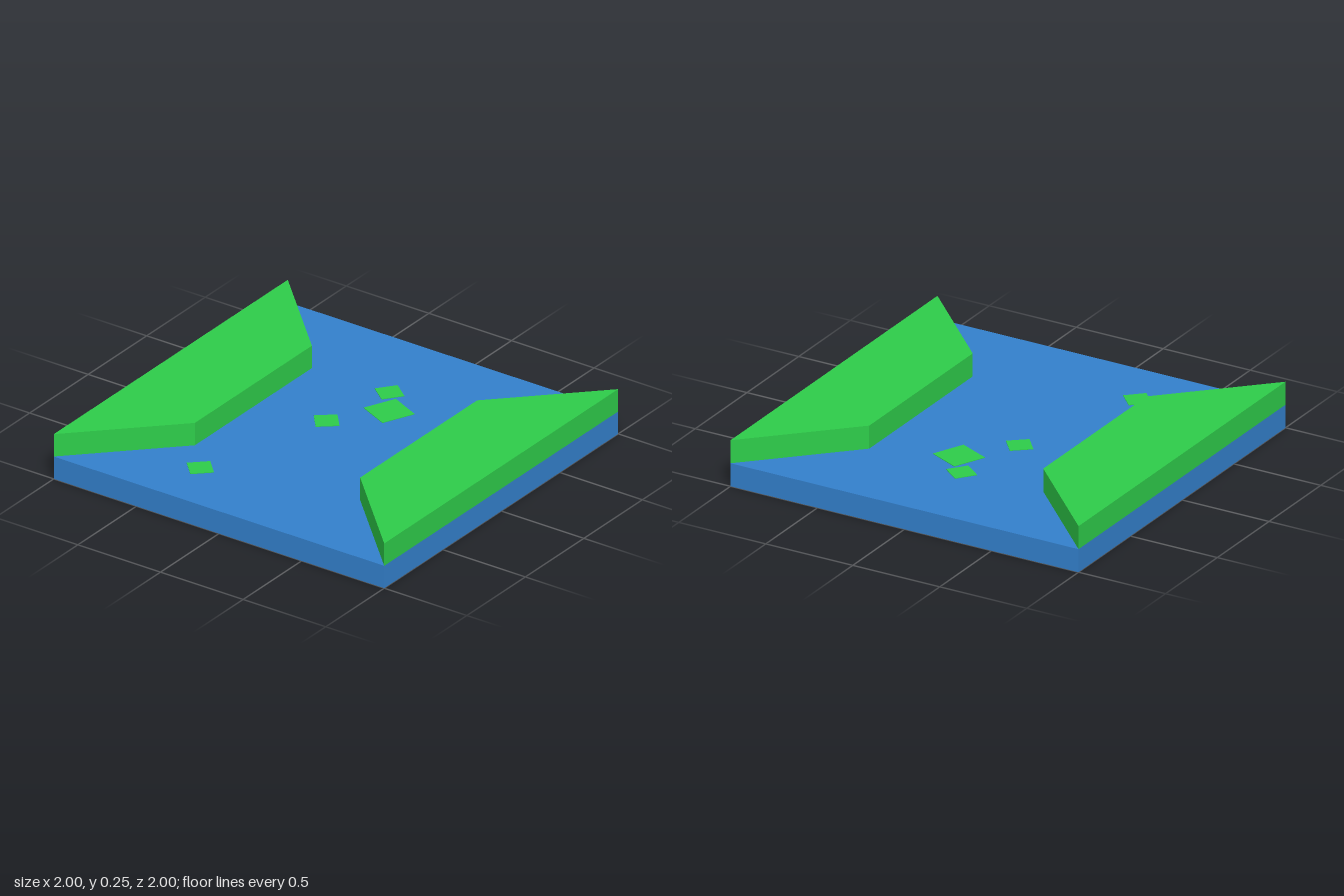
import * as THREE from 'three';

export function createModel() {
  const model = new THREE.Group();
  const water = new THREE.MeshStandardMaterial({ color: 0x3380cc });
  water.name = 'water blue';
  const grass = new THREE.MeshStandardMaterial({ color: 0x2ecc4a });
  grass.name = 'grass green';

  const waterTop = 0.125;
  const bankHeight = 0.125;

  const add = (name, geometry, material) => {
    const mesh = new THREE.Mesh(geometry, material);
    mesh.name = name;
    model.add(mesh);
    return mesh;
  };

  // Square slab of water
  add('water', new THREE.BoxGeometry(2, waterTop, 2), water).position.y = waterTop / 2;

  // Trapezoid banks along the front and back edges
  const outline = new THREE.Shape([
    new THREE.Vector2(-1, -1),
    new THREE.Vector2(1, -1),
    new THREE.Vector2(0.5, -0.5),
    new THREE.Vector2(-0.5, -0.5),
  ]);
  const bank = new THREE.ExtrudeGeometry(outline, { depth: bankHeight, bevelEnabled: false });
  bank.rotateX(-Math.PI / 2);
  bank.translate(0, waterTop, 0);
  add('frontBank', bank, grass);
  add('backBank', bank, grass).rotation.y = Math.PI;

  // Floating square pads: x, z, side, turn in degrees
  const pads = [
    [-0.68, -0.34, 0.118, -46],
    [0.086, -0.118, 0.118, -50],
    [0.51, -0.037, 0.118, -38],
    [0.348, 0.075, 0.184, -24.5],
  ];
  const thickness = 0.003;
  pads.forEach(([x, z, side, turn], i) => {
    const pad = add(`pad${i + 1}`, new THREE.BoxGeometry(side, thickness, side), grass);
    pad.position.set(x, waterTop + thickness / 2, z);
    pad.rotation.y = THREE.MathUtils.degToRad(turn);
  });

  return model;
}
